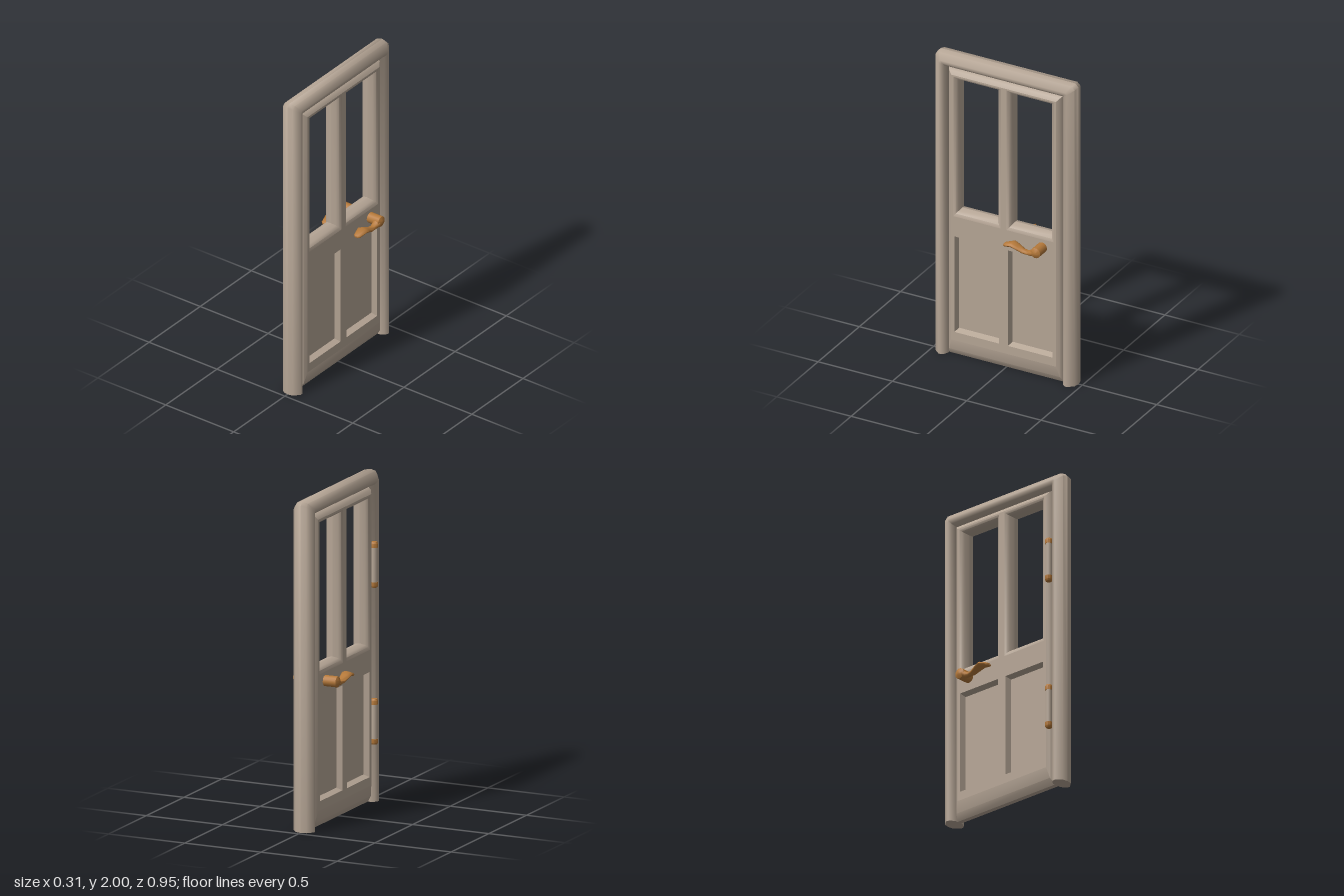
import * as THREE from 'three';
import { toCreasedNormals } from 'three/addons/utils/BufferGeometryUtils.js';

const paint = new THREE.MeshStandardMaterial({ color: 0xb5a595 });
paint.name = 'beige paint';
const brass = new THREE.MeshStandardMaterial({ color: 0xb5793a });
brass.name = 'brass';

// Skin between successive rings of [x, y, z] points, ordered from inside to outside
function loft(rings, closed, crease = 0.7) {
  const pos = [];
  for (let r = 0; r + 1 < rings.length; r++) {
    const a = rings[r], b = rings[r + 1], n = a.length;
    for (let i = 0; i < (closed ? n : n - 1); i++) {
      const j = (i + 1) % n;
      pos.push(...b[i], ...b[j], ...a[j], ...b[i], ...a[j], ...a[i]);
    }
  }
  const g = new THREE.BufferGeometry();
  g.setAttribute('position', new THREE.Float32BufferAttribute(pos, 3));
  return toCreasedNormals(g, crease);
}

function add(parent, name, geometry, material) {
  const mesh = new THREE.Mesh(geometry, material);
  mesh.name = name;
  parent.add(mesh);
  return mesh;
}

const rect = (u0, u1, y0, y1, d) => [[u0, y0, d], [u1, y0, d], [u1, y1, d], [u0, y1, d]];
const flat = (ring) => ring.map(([u, y]) => new THREE.Vector2(u, y));

const FACE = 0.055; // leaf half thickness
const PANEL = 0.02; // recessed panel half thickness

// Window rim: [share of the rim width, depth]
const rim = [[0, 0], [0.2, 0.033], [0.55, 0.049], [1, FACE]];
// Frame half section: [distance in from the outer edge, depth]
const section = [[0.09, 0], [0.088, 0.03], [0.075, 0.054], [0.058, 0.066], [0.043, 0.066], [0.007, 0.035], [0, 0]];

// One side of the door, facing +z before it is turned
function doorSide() {
  const side = new THREE.Group();
  side.name = 'doorSide';

  // Frame: up one jamb, across the head, down the other
  const path = ([o, d]) => {
    const w = 0.475 - o, t = 2 - o, c = 0.022 * (1 - o / 0.09);
    return [[w, 0, d], [w, t - c, d], [w - c, t, d], [c - w, t, d], [-w, t - c, d], [-w, 0, d]];
  };
  add(side, 'frame', loft(section.map(path), false, 0.95), paint);
  for (const s of [-1, 1]) {
    const foot = new THREE.Shape(section.map(([o, d]) => new THREE.Vector2(s * (0.475 - o), d)));
    add(side, 'jambFoot', new THREE.ShapeGeometry(foot).rotateX(Math.PI / 2), paint);
  }

  // Leaf outer edge, deeper along the bottom
  const edge = [
    rect(-0.352, 0.352, 0.11, 1.875, FACE),
    rect(-0.372, 0.372, 0.04, 1.897, 0.042),
    rect(-0.387, 0.387, 0, 1.91, 0.015),
    rect(-0.387, 0.387, 0, 1.91, 0),
  ];
  add(side, 'leafEdge', loft(edge, true), paint);

  // Leaf face with window and panel holes
  const face = new THREE.Shape(flat(edge[0]));
  for (const s of [-1, 1]) {
    const c = s * 0.179;
    const window_ = rim.map(([k, d]) =>
      rect(c - 0.128 - 0.03 * k, c + 0.128 + 0.03 * k, 0.975 - 0.04 * k, 1.84 + 0.025 * k, d));
    add(side, 'windowRim', loft(window_, true), paint);
    face.holes.push(new THREE.Path(flat(window_.at(-1))));

    const p = s * 0.18;
    const recess = [
      rect(p - 0.138, p + 0.138, 0.18, 0.787, PANEL),
      rect(p - 0.15, p + 0.15, 0.165, 0.802, FACE),
    ];
    add(side, 'panelBevel', loft(recess, true), paint);
    face.holes.push(new THREE.Path(flat(recess[1])));
    add(side, 'panel', new THREE.ShapeGeometry(new THREE.Shape(flat(recess[0]))).translate(0, 0, PANEL), paint);
  }
  add(side, 'leafFace', new THREE.ShapeGeometry(face).translate(0, 0, FACE), paint);
  return side;
}

// Lever stations from the tip to the spindle: z, y, half width, half height
const stations = [
  [-0.039, 0.878, 0.003, 0.002], [-0.041, 0.878, 0.014, 0.008], [-0.05, 0.88, 0.024, 0.012],
  [-0.1, 0.894, 0.036, 0.016], [-0.135, 0.881, 0.031, 0.015], [-0.17, 0.865, 0.023, 0.014],
  [-0.2, 0.862, 0.019, 0.014], [-0.22, 0.866, 0.022, 0.019], [-0.24, 0.877, 0.028, 0.027],
];

function lever() {
  const N = 12;
  const rings = stations.map(([z, y, w, h]) => Array.from({ length: N }, (_, i) => {
    const a = (i / N) * Math.PI * 2;
    return [w * Math.cos(a), y + h * Math.sin(a), z];
  }));
  return loft(rings, true, 1);
}

function lathe(points, segments) {
  return new THREE.LatheGeometry(points.map(([r, y]) => new THREE.Vector2(r, y)), segments);
}

export function createModel() {
  const model = new THREE.Group();
  model.name = 'door';

  for (const s of [-1, 1]) {
    const side = doorSide();
    side.rotation.y = (s * Math.PI) / 2;
    model.add(side);
  }

  // Spindle through the door with a lever on each side
  const handle = new THREE.Group();
  handle.name = 'handle';
  model.add(handle);
  const spindle = lathe([[0, -0.151], [0.014, -0.149], [0.033, -0.138], [0.033, 0.138], [0.014, 0.149], [0, 0.151]], 14);
  add(handle, 'spindle', toCreasedNormals(spindle.rotateZ(Math.PI / 2).translate(0, 0.882, -0.26), 0.7), brass);
  for (const s of [-1, 1]) add(handle, 'lever', lever(), brass).position.x = s * 0.119;

  // Hinges: painted barrel between two brass caps
  for (const y of [0.493, 1.443]) {
    const hinge = new THREE.Group();
    hinge.name = 'hinge';
    hinge.position.set(-0.061, y, 0.38);
    model.add(hinge);
    add(hinge, 'hingeBarrel', new THREE.CylinderGeometry(0.021, 0.021, 0.23, 12), paint);
    for (const s of [-1, 1]) {
      const cap = lathe([[0, 0], [0.023, 0], [0.023, 0.024], [0.017, 0.034], [0, 0.036]], 12);
      const mesh = add(hinge, 'hingeCap', toCreasedNormals(cap, 0.7), brass);
      mesh.position.y = s * 0.104;
      if (s < 0) mesh.rotation.x = Math.PI;
    }
  }
  return model;
}
